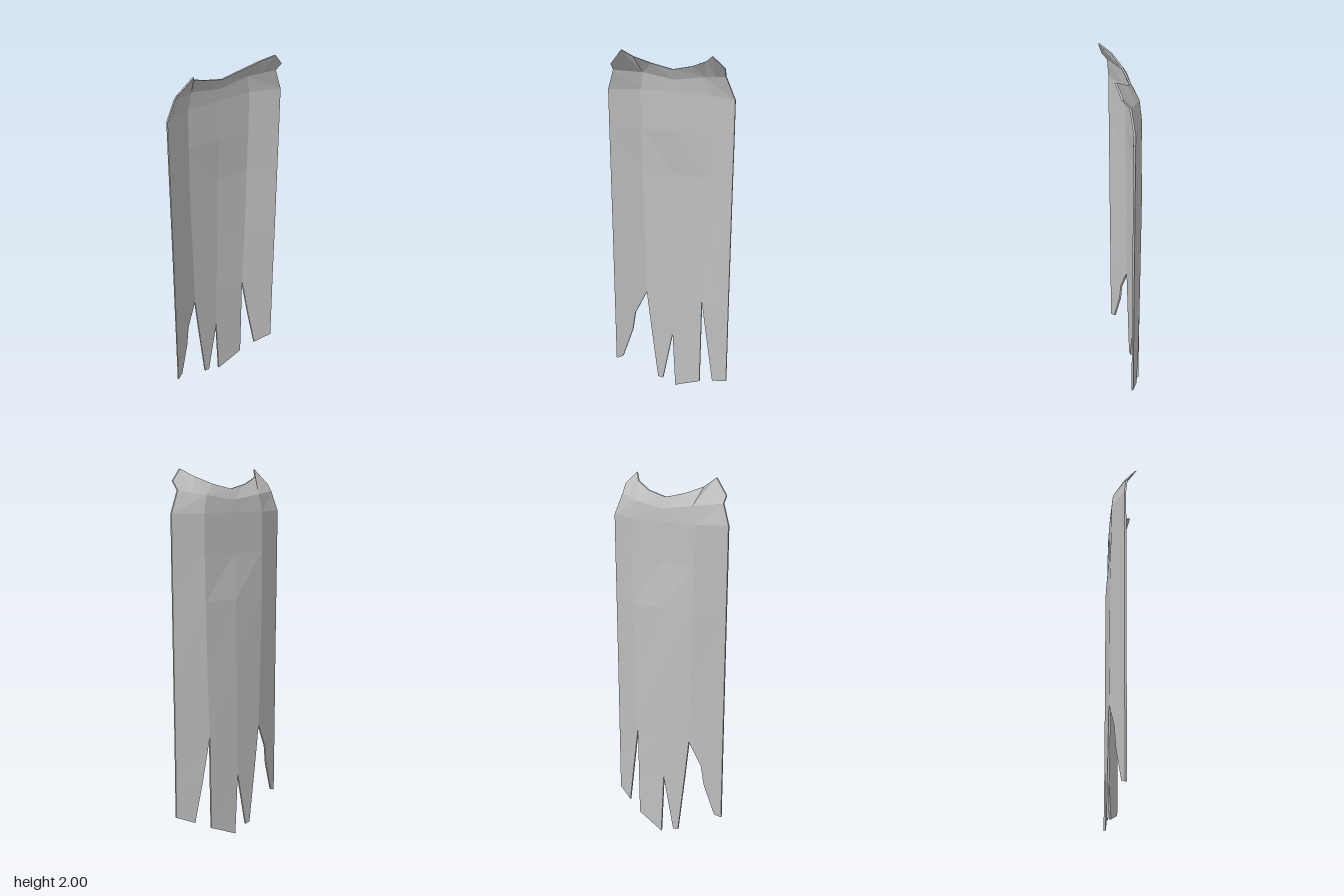
import * as THREE from 'three';

const THICK = 0.01;

// Thin solid cloth from rows (top to bottom) of points (left to right); walls close the free edges.
function cloth(name, rows, walls, material) {
  const pos = [];
  const back = (r, c) => rows[r][c];
  const front = (r, c) => [rows[r][c][0], rows[r][c][1], rows[r][c][2] + THICK];
  const quad = (a, b, c, d) => {
    for (const t of [[a, b, c], [a, c, d]]) {
      const [p, q, s] = t.map(v => new THREE.Vector3(...v));
      if (q.sub(p).cross(s.sub(p)).length() > 1e-8) pos.push(...t.flat());
    }
  };
  const R = rows.length - 1, C = rows[0].length - 1;
  for (let r = 0; r < R; r++) {
    for (let c = 0; c < C; c++) {
      quad(front(r, c), front(r + 1, c), front(r + 1, c + 1), front(r, c + 1));
      quad(back(r, c), back(r, c + 1), back(r + 1, c + 1), back(r + 1, c));
    }
  }
  const wall = (r0, c0, r1, c1) => quad(front(r0, c0), back(r0, c0), back(r1, c1), front(r1, c1));
  for (let r = 0; r < R; r++) {
    if (walls.includes('L')) wall(r, 0, r + 1, 0);
    if (walls.includes('R')) wall(r + 1, C, r, C);
  }
  for (let c = 0; c < C; c++) {
    if (walls.includes('B')) wall(R, c, R, c + 1);
    if (walls.includes('T')) wall(0, c + 1, 0, c);
  }
  const g = new THREE.BufferGeometry();
  g.setAttribute('position', new THREE.Float32BufferAttribute(pos, 3));
  g.computeVertexNormals();
  const mesh = new THREE.Mesh(g, material);
  mesh.name = name;
  return mesh;
}

// Depth of the lower cape across its width
const PROFILE = [[-0.345, 0], [-0.18, -0.067], [0, -0.081], [0.18, -0.067], [0.345, 0]];
function depth(x) {
  for (let i = 1; i < PROFILE.length; i++) {
    const [x0, z0] = PROFILE[i - 1], [x1, z1] = PROFILE[i];
    if (x <= x1) return z0 + (z1 - z0) * (x - x0) / (x1 - x0);
  }
  return 0;
}

export function createModel() {
  const group = new THREE.Group();
  group.name = 'tornCape';
  const fabric = new THREE.MeshStandardMaterial({ color: 0xc0c0c0 });
  fabric.name = 'grey fabric';
  fabric.flatShading = true;

  // Shoulder line shared by collar and drape
  const shoulder = [
    [-0.308, 1.885, 0.012], [-0.17, 1.87, -0.052], [0, 1.845, -0.057], [0.168, 1.87, -0.052], [0.298, 1.895, 0.012],
  ];
  const mid = (a, b) => a.map((v, i) => (v + b[i]) / 2);
  const [s0, s1, s2, s3, s4] = shoulder;

  // Collar with two raised, forward-leaning tips
  const rim = [
    [-0.308, 1.92, 0.04], [-0.235, 2, 0.068], [-0.197, 1.96, 0.012], [-0.108, 1.925, -0.022], [0, 1.9, -0.035],
    [0.108, 1.925, -0.024], [0.195, 1.962, 0.012], [0.245, 2, 0.07], [0.304, 1.94, 0.048],
  ];
  group.add(cloth('collar', [rim, [s0, mid(s0, s1), s1, s1, s2, s3, s3, mid(s3, s4), s4]], 'LRT', fabric));

  // Main drape: [y, half width, side fold x, side fold z, centre x, centre z]
  const bands = [
    [1.78, 0.345, 0.188, -0.06, 0, -0.062],
    [1.57, 0.345, 0.188, -0.062, 0, -0.063],
    [1.33, 0.344, 0.186, -0.067, 0, -0.08],
    [0.95, 0.343, 0.178, -0.067, -0.005, -0.081],
  ].map(([y, w, fx, fz, cx, cz]) => [[-w, y, 0], [-fx, y, fz], [cx, y, cz], [fx, y, fz], [w, y, 0]]);
  const hem = [-0.343, -0.17, -0.01, 0.165, 0.342].map(x => [x, 0.6, depth(x)]);
  group.add(cloth('drape', [shoulder, ...bands, hem], 'LR', fabric));

  // Torn strips: rows of [left x, left y, right x, right y]
  const strips = {
    rightOuterStrip: [[-0.343, 0.6, -0.17, 0.6], [-0.343, 0.46, -0.235, 0.46], [-0.343, 0.35, -0.25, 0.35], [-0.343, 0.155, -0.307, 0.17]],
    rightInnerStrip: [[-0.17, 0.6, -0.01, 0.6], [-0.142, 0.35, -0.015, 0.35], [-0.105, 0.04, -0.075, 0.035]],
    leftInnerStrip: [[-0.01, 0.6, 0.165, 0.6], [-0.015, 0.35, 0.162, 0.35], [0.002, 0, 0.158, 0.07]],
    leftOuterStrip: [[0.165, 0.6, 0.342, 0.6], [0.205, 0.35, 0.342, 0.35], [0.246, 0.113, 0.342, 0.155]],
  };
  for (const [name, rows] of Object.entries(strips)) {
    const pts = rows.map(([xl, yl, xr, yr]) => [[xl, yl, depth(xl)], [xr, yr, depth(xr)]]);
    group.add(cloth(name, pts, 'LRB', fabric));
  }
  return group;
}
